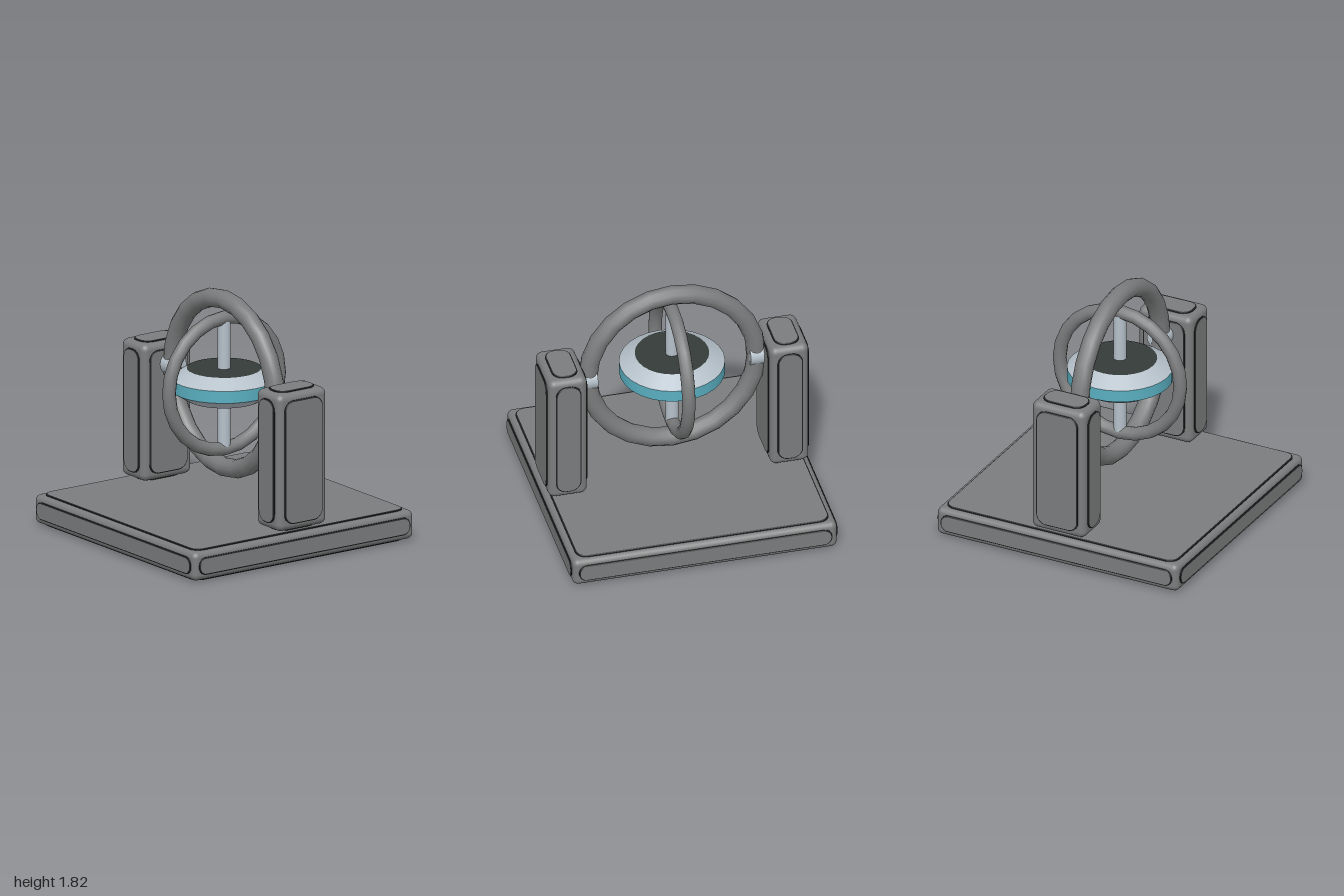
import * as THREE from 'three';
import { RoundedBoxGeometry } from 'three/addons/geometries/RoundedBoxGeometry.js';

export function createModel() {
  const model = new THREE.Group();
  model.name = 'gyroscope';

  const material = (name, color) => {
    const m = new THREE.MeshStandardMaterial({ color });
    m.name = name;
    return m;
  };
  const grey = material('grey metal', 0x7b7c7d);
  const seam = material('dark seam', 0x202223);
  const silver = material('silver', 0xb6c1ca);
  const teal = material('teal band', 0x5aafc1);
  const charcoal = material('charcoal cap', 0x343b39);

  const add = (parent, name, geometry, mat) => {
    const mesh = new THREE.Mesh(geometry, mat);
    mesh.name = name;
    parent.add(mesh);
    return mesh;
  };

  // Raised panel: rounded rectangle with a dark bevelled rim, grey face at z = 0
  const panelGeometry = (width, height, radius) => {
    const rim = 0.01, w = width / 2 - rim, h = height / 2 - rim;
    const r = Math.min(radius, w * 0.9, h * 0.9);
    const s = new THREE.Shape();
    s.absarc(w - r, h - r, r, 0, Math.PI / 2);
    s.absarc(-w + r, h - r, r, Math.PI / 2, Math.PI);
    s.absarc(-w + r, -h + r, r, Math.PI, Math.PI * 1.5);
    s.absarc(w - r, -h + r, r, Math.PI * 1.5, Math.PI * 2);
    const g = new THREE.ExtrudeGeometry(s, {
      depth: 0.02, bevelEnabled: true, bevelSize: rim, bevelThickness: 0.006,
      bevelSegments: 1, curveSegments: 5,
    });
    return g.translate(0, 0, -0.026);
  };

  // Rounded block with a raised panel on each of its six faces
  const panelledBlock = (name, size, radius, inset, raise) => {
    const [w, h, d] = size;
    const block = new THREE.Group();
    block.name = name;
    add(block, name + 'Body', new RoundedBoxGeometry(w, h, d, 3, radius), grey);
    const faces = [
      [w, h, d, 0, 0], [w, h, d, 0, Math.PI],
      [d, h, w, 0, Math.PI / 2], [d, h, w, 0, -Math.PI / 2],
      [w, d, h, -Math.PI / 2, 0], [w, d, h, Math.PI / 2, 0],
    ];
    for (const [fw, fh, depth, rx, ry] of faces) {
      const panel = add(block, name + 'Panel',
        panelGeometry(fw - inset * 2, fh - inset * 2, 0.07), [grey, seam]);
      panel.rotation.set(rx, ry, 0);
      panel.position.set(0, 0, depth / 2 + raise).applyEuler(panel.rotation);
    }
    model.add(block);
    return block;
  };

  // Base and the two uprights
  panelledBlock('base', [1.975, 0.216, 1.975], 0.045, 0.042, 0.011).position.y = 0.118;
  for (const [side, sx] of [['left', 1], ['right', -1]]) {
    panelledBlock(side + 'Upright', [0.29, 1.03, 0.44], 0.05, 0.05, 0.011)
      .position.set(sx * 0.828, 0.763, 0);
  }

  // Moving parts, centred on the pivot axis
  const rotor = new THREE.Group();
  rotor.name = 'rotor';
  rotor.position.y = 1.12;
  model.add(rotor);

  // Gimbal rings
  add(rotor, 'outerRing', new THREE.TorusGeometry(0.63, 0.07, 12, 24), grey);
  add(rotor, 'innerRing', new THREE.TorusGeometry(0.494, 0.05, 12, 24), grey)
    .rotation.y = Math.PI / 2;

  // Pivot pins between the uprights and the outer ring
  for (const [side, sx] of [['left', 1], ['right', -1]]) {
    const pin = add(rotor, side + 'Pivot', new THREE.CylinderGeometry(0.082, 0.082, 0.115, 16), silver);
    pin.rotation.z = Math.PI / 2;
    pin.position.x = sx * 0.628;
  }

  // Spindle and flywheel
  add(rotor, 'spindle', new THREE.CylinderGeometry(0.047, 0.047, 0.94, 16), silver);
  add(rotor, 'flywheelBand', new THREE.CylinderGeometry(0.385, 0.385, 0.09, 28, 1, true), teal);
  for (const s of [1, -1]) {
    const half = new THREE.Group();
    half.name = s > 0 ? 'flywheelTop' : 'flywheelBottom';
    half.rotation.x = s > 0 ? 0 : Math.PI;
    add(half, 'flywheelSlope', new THREE.CylinderGeometry(0.27, 0.385, 0.07, 28, 1, true), silver)
      .position.y = 0.08;
    add(half, 'flywheelCap', new THREE.CircleGeometry(0.27, 28).rotateX(-Math.PI / 2), charcoal)
      .position.y = 0.115;
    rotor.add(half);
  }

  return model;
}
